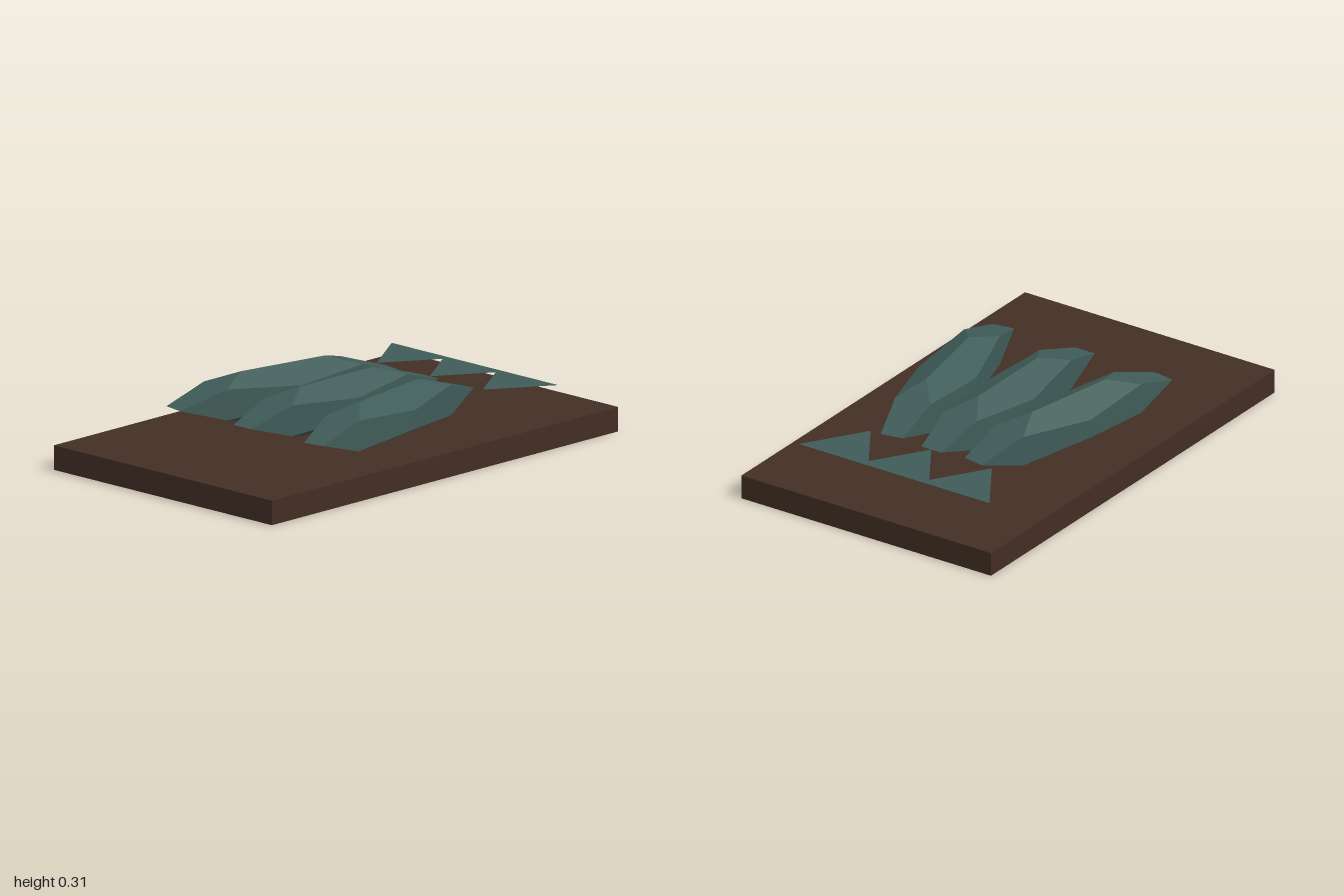
import * as THREE from 'three';

export function createModel() {
  const group = new THREE.Group();
  const wood = new THREE.MeshStandardMaterial({ color: 0x432e24 });
  wood.name = 'dark brown wood';
  const teal = new THREE.MeshStandardMaterial({ color: 0x3f5c58, flatShading: true, side: THREE.DoubleSide });
  teal.name = 'dull teal fish';

  const add = (name, geometry, material, x, y, z) => {
    const mesh = new THREE.Mesh(geometry, material);
    mesh.name = name;
    mesh.position.set(x, y, z);
    group.add(mesh);
    return mesh;
  };

  // Serving board
  const boardHeight = 0.102;
  add('board', new THREE.BoxGeometry(2, boardHeight, 1.22), wood, 0, boardHeight / 2, 0);

  // Faceted body: a dodecahedron stretched along x
  const bodyGeometry = new THREE.DodecahedronGeometry(1).scale(0.58, 0.111, 0.135);

  // Flat horizontal tail, its tip meeting the body
  const tailShape = new THREE.Shape([
    new THREE.Vector2(0, 0),
    new THREE.Vector2(0.262, -0.17),
    new THREE.Vector2(0.262, 0.17),
  ]);
  const tailGeometry = new THREE.ShapeGeometry(tailShape).rotateX(-Math.PI / 2);

  // Three fish, the outer two turned so the tails converge
  const names = ['back', 'middle', 'front'];
  names.forEach((name, i) => {
    const side = i - 1;
    const z = side * 0.296;
    const body = add(name + 'FishBody', bodyGeometry, teal, 0, 0.204, z);
    body.rotation.y = side * 0.18;
    add(name + 'FishTail', tailGeometry, teal, 0.541, 0.204, z);
  });

  return group;
}
